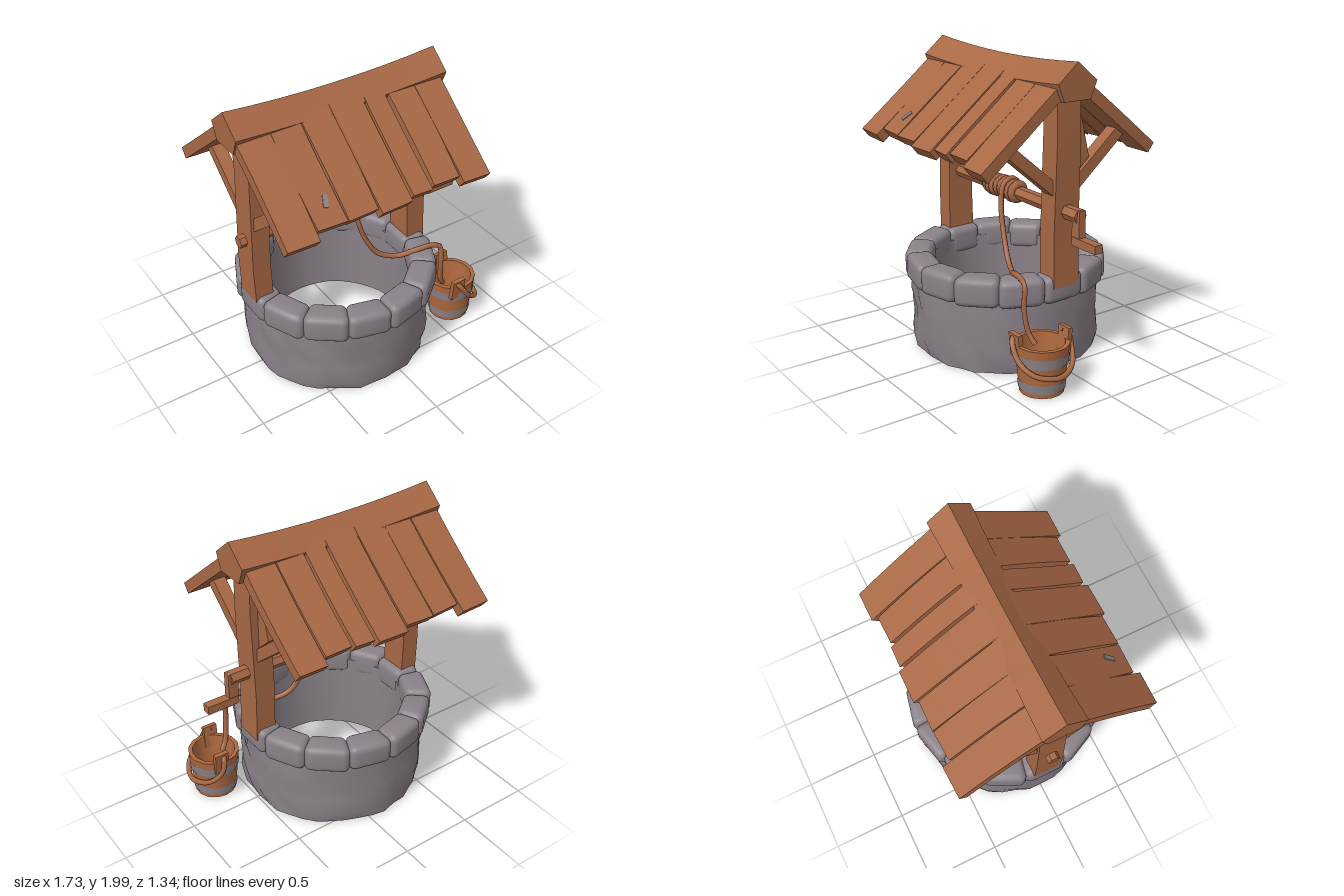
import * as THREE from 'three';
import { mergeVertices, toCreasedNormals } from 'three/addons/utils/BufferGeometryUtils.js';
import { RoundedBoxGeometry } from 'three/addons/geometries/RoundedBoxGeometry.js';

const V = (x, y, z) => new THREE.Vector3(x, y, z);
const CX = -0.12; // centre of the well in x

export function createModel() {
  const model = new THREE.Group();
  model.name = 'well';
  const material = (name, color) => {
    const m = new THREE.MeshStandardMaterial({ color });
    m.name = name;
    return m;
  };
  const wood = material('wood', 0xa86845);
  const bucketWood = material('bucketWood', 0xb06a40);
  const stone = material('stone', 0x8a8189);
  stone.side = THREE.DoubleSide;
  const iron = material('iron', 0x8a8488);

  let seed = 7;
  const rnd = () => (seed = (seed * 16807) % 2147483647) / 2147483647 - 0.5;

  const add = (name, geometry, mat, parent = model) => {
    const mesh = new THREE.Mesh(geometry, mat);
    mesh.name = name;
    parent.add(mesh);
    return mesh;
  };
  // Moves each vertex of a geometry by a rule, then welds and creases it
  const shape = (geometry, rule, crease = 0.6) => {
    geometry.deleteAttribute('uv');
    geometry.deleteAttribute('normal');
    const g = mergeVertices(geometry, 1e-4);
    const p = g.attributes.position;
    const v = V(0, 0, 0);
    for (let i = 0; i < p.count; i++) {
      v.fromBufferAttribute(p, i);
      rule(v);
      p.setXYZ(i, v.x, v.y, v.z);
    }
    return toCreasedNormals(g, crease);
  };
  // Rectangular beam between two points
  const beam = (name, a, b, w, h) => {
    const mesh = add(name, new THREE.BoxGeometry(w, h, a.distanceTo(b)), wood);
    mesh.position.copy(a).add(b).multiplyScalar(0.5);
    mesh.lookAt(b);
    return mesh;
  };
  const tube = (name, points, r, mat, parent) =>
    add(name, new THREE.TubeGeometry(new THREE.CatmullRomCurve3(points), 40, r, 6), mat, parent);

  // Rough stone shaft, open at top and bottom
  const profile = [[0.5, 0.01], [0.61, 0.01], [0.625, 0.09], [0.625, 0.19], [0.625, 0.29],
    [0.625, 0.39], [0.62, 0.5], [0.62, 0.58], [0.5, 0.58], [0.5, 0.3], [0.5, 0.01]];
  const shaft = new THREE.LatheGeometry(profile.map(([r, y]) => new THREE.Vector2(r, y)), 40);
  add('stoneShaft', shape(shaft, (v) => {
    const r = Math.hypot(v.x, v.z);
    const k = r > 0.55 ? 1 + rnd() * 0.045 : 1 + rnd() * 0.02;
    v.set(v.x * k, v.y, v.z * k);
  }, 0.9), stone).position.x = CX;

  // Ring of rounded capstones
  const rim = new THREE.Group();
  rim.name = 'stoneRim';
  rim.position.x = CX;
  model.add(rim);
  const stones = 14;
  const step = (Math.PI * 2) / stones;
  for (let i = 0; i < stones; i++) {
    const h = 0.185 + rnd() * 0.015;
    const out = 0.585 + rnd() * 0.015;
    const block = new RoundedBoxGeometry(step * 0.6 * 1.03, h, 0.18, 3, 0.045);
    const tilt = rnd() * 0.1;
    add('capstone', shape(block, (v) => {
      const a = (i + 0.5) * step + v.x / 0.6;
      const r = out + v.z;
      v.set(Math.sin(a) * r, 0.565 + v.y + v.x * tilt, Math.cos(a) * r);
    }, 0.7), stone, rim);
  }

  // Posts with a brace on each side
  for (const [x, w] of [[-0.72, 0.125], [0.475, 0.14]]) {
    const post = new THREE.BoxGeometry(w, 1.27, 0.2, 1, 4, 1);
    add('post', shape(post, (v) => {
      v.z *= 0.93 - v.y * 0.09;
      v.x += 0.008 * Math.sin(v.y * 5);
    }), wood).position.set(x, 1.215, 0);
    for (const s of [-1, 1]) {
      beam('roofBrace', V(x, 1.2, s * 0.06), V(x, 1.53, s * 0.45), 0.085, 0.075);
    }
  }
  // Wedge behind the right-hand post
  const wedge = new THREE.Shape([[0.06, 1.78], [0.06, 1.25], [0.2, 1.38], [0.11, 1.74]]
    .map(([x, y]) => new THREE.Vector2(x, y)));
  const wedgeGeo = new THREE.ExtrudeGeometry(wedge, { depth: 0.05, bevelEnabled: false });
  const wedgeMesh = add('postWedge', wedgeGeo, wood);
  wedgeMesh.rotation.y = Math.PI / 2;
  wedgeMesh.position.x = 0.45;

  // Sagging five-sided ridge beam
  const ridge = new THREE.Shape([[0, 2], [-0.145, 1.88], [-0.1, 1.77], [0.1, 1.77], [0.145, 1.88]]
    .map(([x, y]) => new THREE.Vector2(x, y)));
  const ridgeGeo = new THREE.ExtrudeGeometry(ridge, { depth: 1.49, steps: 8, bevelEnabled: false });
  ridgeGeo.rotateY(Math.PI / 2).translate(-0.745, 0, 0);
  add('ridgeBeam', shape(ridgeGeo, (v) => {
    const sag = 1 - (v.x / 0.745) ** 2;
    v.y -= 0.035 * sag;
    v.z *= 1 - 0.13 * sag;
  }, 0.4), wood).position.x = CX;

  // Roof planks: left edge, right edge, reach in z
  const planks = [[-0.855, -0.64, 0.66], [-0.63, -0.43, 0.62], [-0.425, -0.22, 0.625],
    [-0.21, 0.01, 0.65], [0.03, 0.17, 0.63], [0.19, 0.38, 0.62], [0.39, 0.59, 0.66]];
  const pitch = 0.68;
  for (const s of [1, -1]) {
    const slope = new THREE.Group();
    slope.name = s > 0 ? 'frontRoof' : 'backRoof';
    slope.position.set(0, 1.906, s * 0.06);
    slope.rotation.x = s * pitch;
    model.add(slope);
    for (const [x0, x1, reach] of planks) {
      const len = (reach - 0.06) / Math.cos(pitch);
      const bow = rnd() * 0.04;
      const skew = rnd() * 0.03;
      const geo = new THREE.BoxGeometry(x1 - x0, 0.075, len, 1, 1, 5);
      geo.translate(0, -0.0375, (s * len) / 2);
      add('roofPlank', shape(geo, (v) => {
        const t = Math.abs(v.z) / len;
        v.x = v.x * (1.02 - 0.03 * t) + bow * t * (1 - t) * 2;
        if (t > 0.95) v.z += s * v.x * skew * 4;
      }), wood, slope).position.x = (x0 + x1) / 2;
    }
    if (s > 0) { // small pale patch on one plank
      const patch = add('roofPatch', new THREE.BoxGeometry(0.03, 0.008, 0.08), iron, slope);
      patch.position.set(-0.51, 0.002, 0.57);
      patch.rotation.y = -0.35;
    }
  }

  // Windlass axle, crank and coiled rope
  const axle = new THREE.CylinderGeometry(0.042, 0.048, 1.5, 6);
  axle.rotateZ(Math.PI / 2);
  add('axle', toCreasedNormals(axle, 0.5), wood).position.set(-0.08, 1.07, 0);
  beam('crankArm', V(0.655, 1.11, 0), V(0.655, 0.885, 0), 0.07, 0.05);
  beam('crankHandle', V(0.63, 0.91, 0), V(0.845, 0.91, 0), 0.06, 0.055);
  for (let i = 0; i < 8; i++) {
    const coil = add('ropeCoil', new THREE.TorusGeometry(0.05, 0.029, 6, 14), wood);
    coil.position.set(-0.275 + i * 0.043, 1.075 + rnd() * 0.012, 0);
    coil.rotation.y = Math.PI / 2 + rnd() * 0.25;
  }
  tube('rope', [V(-0.04, 1.06, -0.08), V(-0.04, 1.15, -0.02), V(-0.03, 1.13, 0.07), V(-0.02, 1, 0.1),
    V(0.04, 0.8, 0.12), V(0.13, 0.66, 0.15), V(0.25, 0.62, 0.2), V(0.35, 0.67, 0.27),
    V(0.45, 0.685, 0.3), V(0.525, 0.655, 0.31), V(0.535, 0.5, 0.32), V(0.56, 0.34, 0.3),
    V(0.6, 0.28, 0.28)], 0.018, wood);

  // Bucket with iron hoops, two ears and a dropped handle
  const bucket = new THREE.Group();
  bucket.name = 'bucket';
  bucket.position.set(0.667, 0, 0.28);
  model.add(bucket);
  const radius = (y) => 0.14 + 0.1 * y;
  const pail = [[0, 0.01], [radius(0.01), 0.01], [radius(0.33), 0.33], [0.145, 0.33], [0.125, 0.06], [0, 0.06]];
  const pailGeo = new THREE.LatheGeometry(pail.map(([r, y]) => new THREE.Vector2(r, y)), 14);
  add('pail', shape(pailGeo, () => {}, 0.6), bucketWood, bucket);
  for (const [y0, y1] of [[0.04, 0.1], [0.21, 0.275]]) {
    const hoop = new THREE.CylinderGeometry(radius(y1) + 0.005, radius(y0) + 0.005, y1 - y0, 14, 1, true);
    add('hoop', hoop, iron, bucket).position.y = (y0 + y1) / 2;
  }
  for (const s of [-1, 1]) {
    const ear = add('bucketEar', new THREE.BoxGeometry(0.1, 0.16, 0.03), bucketWood, bucket);
    ear.position.set(s > 0 ? -0.06 : 0.03, 0.32, s * 0.15);
    ear.rotation.x = s * 0.1;
  }
  tube('bucketHandle', [V(-0.08, 0.38, 0.14), V(-0.06, 0.36, 0.18), V(0.02, 0.25, 0.19),
    V(0.12, 0.18, 0.14), V(0.18, 0.155, 0), V(0.13, 0.18, -0.13), V(0.05, 0.26, -0.19),
    V(0.02, 0.36, -0.18), V(0.01, 0.38, -0.14)], 0.018, wood, bucket);

  return model;
}
